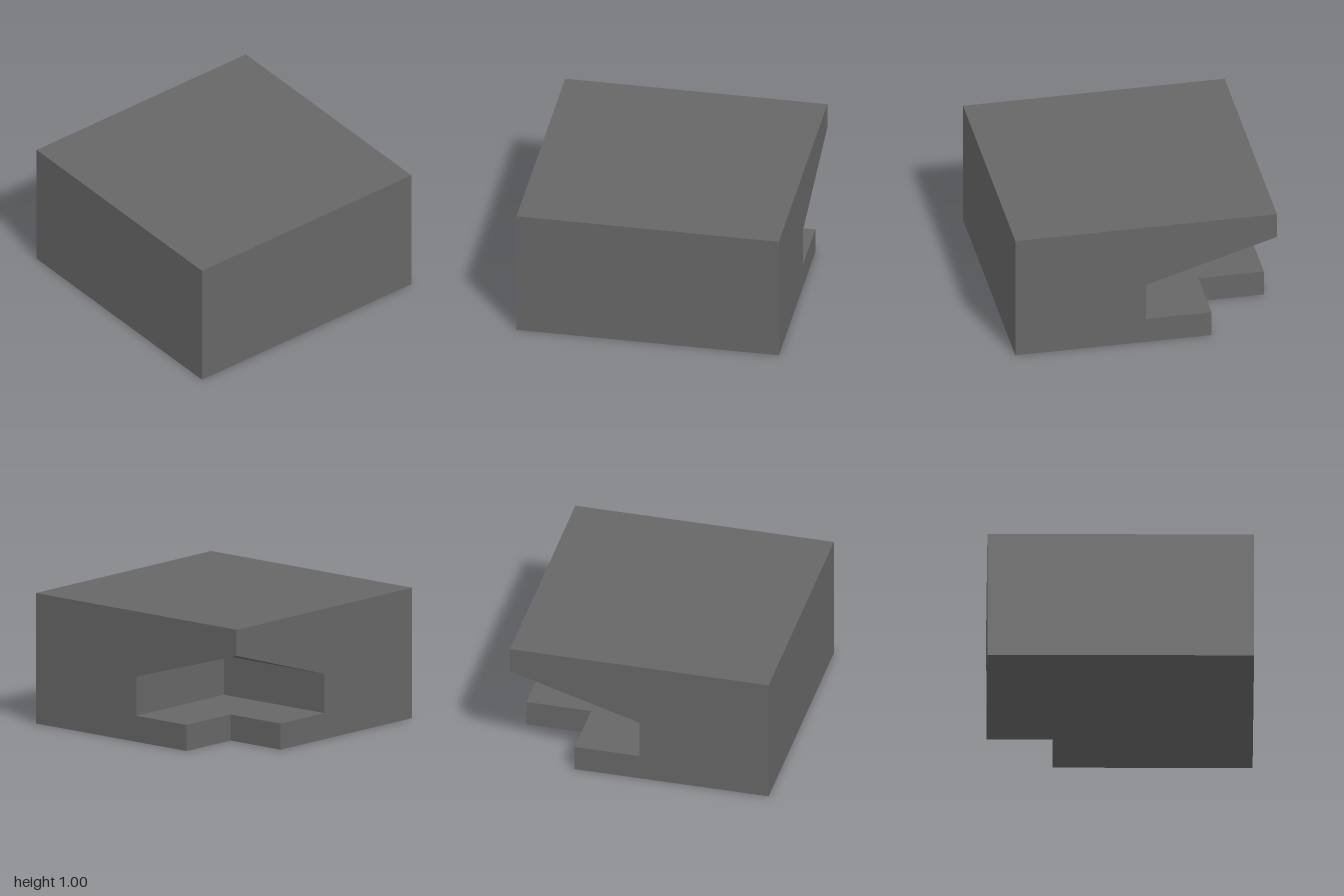
import * as THREE from 'three';

// Turns flat polygons (corners anticlockwise from outside) into one faceted geometry.
function solid(polygons) {
  const positions = [];
  for (const polygon of polygons) {
    const pts = polygon.map((p) => new THREE.Vector3(...p));
    const normal = new THREE.Vector3();
    pts.forEach((p, i) => normal.add(p.clone().cross(pts[(i + 1) % pts.length])));
    normal.normalize();
    const u = pts[1].clone().sub(pts[0]).normalize();
    const v = normal.clone().cross(u);
    const flat = pts.map((p) => new THREE.Vector2(p.dot(u), p.dot(v)));
    for (const tri of THREE.ShapeUtils.triangulateShape(flat, [])) {
      for (const i of tri) positions.push(...pts[i].toArray());
    }
  }
  const geometry = new THREE.BufferGeometry();
  geometry.setAttribute('position', new THREE.Float32BufferAttribute(positions, 3));
  geometry.computeVertexNormals();
  return geometry;
}

// Reflects a polygon across the diagonal through the cut corner.
const mirror = (polygon) => polygon.map(([x, y, z]) => [-z, y, -x]).reverse();

export function createModel() {
  const stone = new THREE.MeshStandardMaterial({ color: 0x666666 });
  stone.name = 'dark grey';

  // Heights: ledge top, undercut top, raised lip at the cut corner
  const ledge = 0.2, shelf = 0.5, lip = 0.8;
  const level = (y, outline) => outline.map(([x, z]) => [x, y, z]);

  // Horizontal faces
  const top = level(1, [[-1, 1], [1, 1], [1, -1], [-1, -1]]);
  const bottom = level(0, [[-1, 1], [-1, -1], [0.5, -1], [0.5, -0.5], [1, -0.5], [1, 1]]);
  const ledgeTop = level(ledge, [[0, 0], [1, 0], [1, -0.5], [0.5, -0.5], [0.5, -1], [0, -1]]);

  // Faces that occur on both sides of the diagonal
  const cutSide = [
    [0, 1], [0, -0.5], [ledge, -0.5], [ledge, 0], [shelf, 0], [lip, -1], [1, -1], [1, 1],
  ].map(([y, z]) => [1, y, z]);
  const plainSide = [[-1, 0, -1], [-1, 0, 1], [-1, 1, 1], [-1, 1, -1]];
  const wall = (z, x0, y0, y1) => [[1, y0, z], [x0, y0, z], [x0, y1, z], [1, y1, z]];
  const notchWall = wall(-0.5, 0.5, 0, ledge);
  const undercutWall = wall(0, 0, ledge, shelf);
  const slopedCeiling = [[1, lip, -1], [1, shelf, 0], [0, shelf, 0]];
  const paired = [cutSide, plainSide, notchWall, undercutWall, slopedCeiling];

  const block = new THREE.Mesh(
    solid([top, bottom, ledgeTop, ...paired, ...paired.map(mirror)]), stone);
  block.name = 'undercutBlock';

  const model = new THREE.Group();
  model.name = 'cornerCutBlock';
  model.add(block);
  return model;
}
